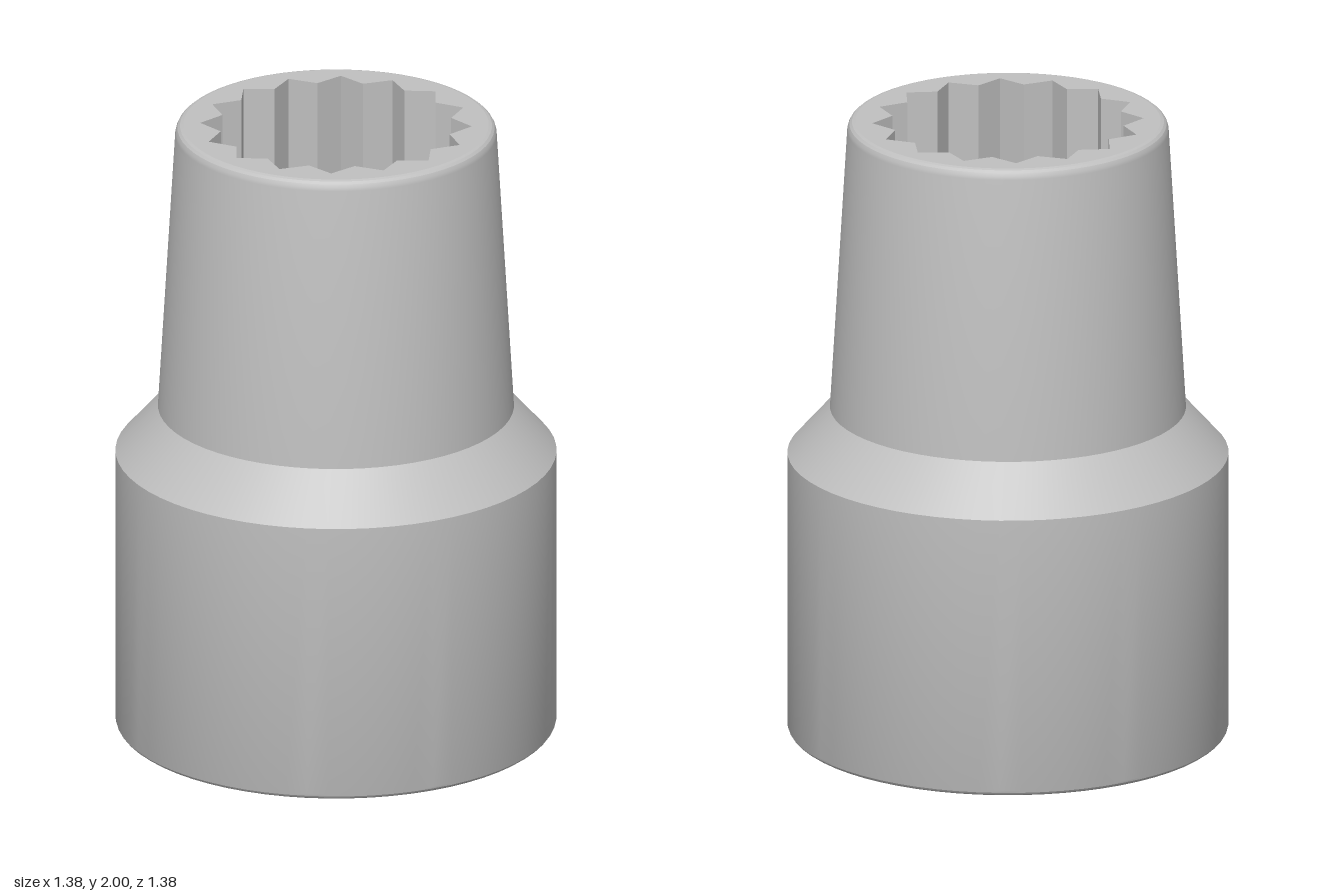
import * as THREE from 'three';
import { toCreasedNormals } from 'three/addons/utils/BufferGeometryUtils.js';

const N = 64; // points in every ring

// Closed ring through equally spaced corners, straight between them.
function ring(corners, radiusAt, yAt) {
  const per = N / corners;
  const corner = (k) => {
    const a = (k / corners) * Math.PI * 2;
    const r = radiusAt(k % corners);
    return new THREE.Vector3(r * Math.cos(a), 0, r * Math.sin(a));
  };
  return Array.from({ length: N }, (_, i) => {
    const k = Math.floor(i / per);
    const p = corner(k).lerp(corner(k + 1), (i % per) / per);
    p.y = typeof yAt === 'function' ? yAt(Math.hypot(p.x, p.z)) : yAt;
    return p;
  });
}
const circle = (r, y) => ring(N, () => r, y);
const toothed = (y) => ring(32, (k) => (k % 2 ? 0.425 : 0.365), y);
const square = (y) => ring(4, () => 0.566, y);

// Skin over successive rings; edges sharper than the crease stay hard.
function loft(rings, crease = 0.3) {
  const pos = [];
  for (let j = 0; j < rings.length - 1; j++) {
    const a = rings[j], b = rings[j + 1];
    for (let i = 0; i < N; i++) {
      const n = (i + 1) % N;
      for (const p of [a[i], b[i], a[n], a[n], b[i], b[n]]) pos.push(p.x, p.y, p.z);
    }
  }
  const g = new THREE.BufferGeometry();
  g.setAttribute('position', new THREE.Float32BufferAttribute(pos, 3));
  return toCreasedNormals(g, crease);
}

export function createModel() {
  const steel = new THREE.MeshStandardMaterial({ color: 0xc0c0c0 });
  steel.name = 'steel';
  const model = new THREE.Group();
  model.name = 'socket';
  const add = (name, rings) => {
    const mesh = new THREE.Mesh(loft(rings), steel);
    mesh.name = name;
    model.add(mesh);
  };

  // Outer body: wide base, sloped shoulder, tapered neck, rounded lips
  const profile = [
    [0.67, 0], [0.677, 0.002], [0.684, 0.007], [0.688, 0.013], [0.69, 0.02],
    [0.69, 0.91], [0.557, 1.06], [0.503, 1.97],
    [0.501, 1.98], [0.496, 1.99], [0.488, 1.997], [0.478, 2],
  ];
  add('outerBody', profile.map(([r, y]) => circle(r, y)));

  // Top face, sixteen-point recess and its floor
  const floorY = 1.1;
  add('topFace', [circle(0.478, 2), toothed(2)]);
  add('pointedRecess', [toothed(2), toothed(floorY)]);
  add('recessFloor', [toothed(floorY), circle(0.2, floorY)]);

  // Round through hole
  const driveY = 0.75;
  add('throughHole', [circle(0.2, floorY), circle(0.2, driveY)]);

  // Square drive hole, opening into a conical countersink at the base
  const coneY = (r) => (0.67 - r) * 0.55;
  add('driveCeiling', [circle(0.2, driveY), square(driveY)]);
  add('driveWalls', [square(driveY), square(coneY)]);
  add('countersink', [square(coneY), circle(0.67, 0)]);

  return model;
}
